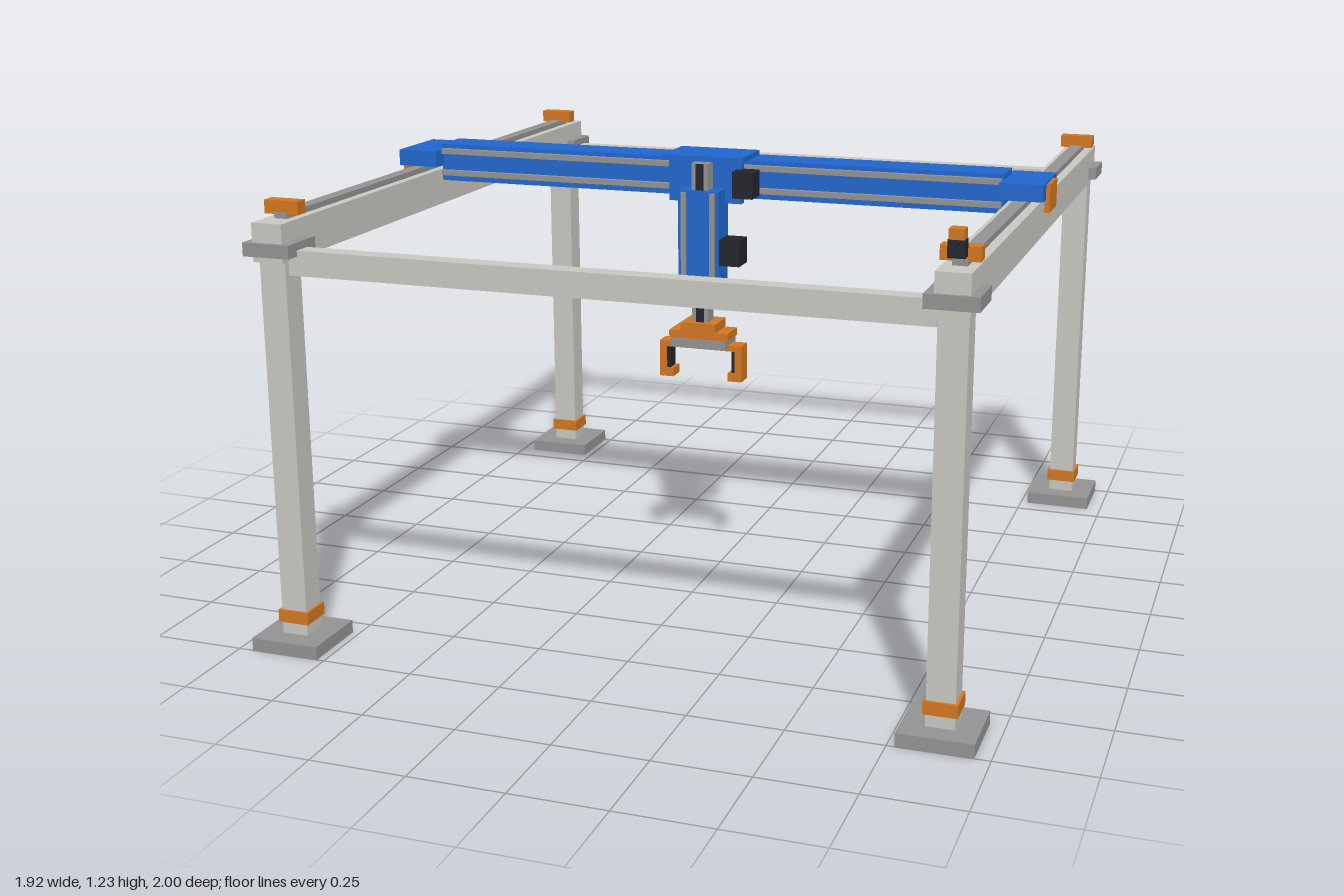
import * as THREE from 'three';

const mat = (name, color) => {
  const m = new THREE.MeshStandardMaterial({ color });
  m.name = name;
  return m;
};

export function createModel() {
  const frame = mat('light grey paint', 0xc8c6c0);
  const steel = mat('steel grey', 0x929292);
  const blue = mat('blue paint', 0x2066cc);
  const orange = mat('orange paint', 0xd07620);
  const black = mat('motor black', 0x22242a);

  const root = new THREE.Group();
  root.name = 'gantryRobot';
  const group = (name) => {
    const g = new THREE.Group();
    g.name = name;
    root.add(g);
    return g;
  };
  // Box given by its extents along each axis
  const box = (parent, name, material, [x0, x1], [y0, y1], [z0, z1]) => {
    const m = new THREE.Mesh(new THREE.BoxGeometry(x1 - x0, y1 - y0, z1 - z0), material);
    m.position.set((x0 + x1) / 2, (y0 + y1) / 2, (z0 + z1) / 2);
    m.name = name;
    parent.add(m);
    return m;
  };
  const around = (c, size) => [c - size / 2, c + size / 2];

  const X = 0.865, Z = 0.905;

  // Four legs with foot plates, bands and collars
  for (const sx of [-1, 1]) for (const sz of [-1, 1]) {
    const leg = group('leg');
    const x = sx * X, z = sz * Z;
    box(leg, 'footPlate', steel, around(x, 0.19), [0, 0.035], around(z, 0.19));
    box(leg, 'post', frame, around(x, 0.072), [0.035, 1.05], around(z, 0.072));
    box(leg, 'postBand', orange, around(x, 0.086), [0.068, 0.102], around(z, 0.086));
    box(leg, 'collar', steel, around(x, 0.13), [1.055, 1.09], around(z, 0.13));
    box(leg, 'endStop', orange, around(x, 0.095), [1.15, 1.185], around(sz * 0.867, 0.038));
  }

  // Side beams with rails
  for (const sx of [-1, 1]) {
    const side = group('sideBeam');
    box(side, 'beam', frame, around(sx * X, 0.084), [1.04, 1.14], [-0.96, 0.96]);
    box(side, 'rail', steel, around(sx * X, 0.036), [1.14, 1.155], [-0.89, 0.89]);
  }

  // Front and back tie bars
  for (const sz of [-1, 1])
    box(root, 'tieBar', frame, [-0.825, 0.825], [1.005, 1.07], around(sz * Z, 0.05));

  // Limit switch on one corner
  const limit = group('limitSwitch');
  box(limit, 'switchBody', black, around(0.862, 0.04), [1.163, 1.205], around(Z, 0.036));
  box(limit, 'switchCap', orange, around(0.862, 0.036), [1.205, 1.23], around(Z, 0.036));

  // Bridge beam with its two rails, end carriages and drive motor
  const bridge = group('bridge');
  box(bridge, 'bridgeBeam', blue, [-0.815, 0.815], [1.11, 1.215], [-0.02, 0.09]);
  for (const y of [1.134, 1.196])
    box(bridge, 'bridgeRail', steel, [-0.81, 0.81], around(y, 0.015), [0.09, 0.105]);
  for (const sx of [-1, 1]) {
    box(bridge, 'endCarriage', blue, around(sx * 0.868, 0.116), [1.155, 1.2], [-0.07, 0.14]);
    box(bridge, 'sidePlate', orange, around(sx * 0.93, 0.014), [1.12, 1.195], [-0.015, 0.096]);
  }
  box(bridge, 'bridgeMotor', black, [-0.81, -0.74], [1.12, 1.192], [-0.112, -0.02]);

  // Trolley riding on the bridge
  const trolley = group('trolley');
  box(trolley, 'topPlate', blue, [-0.114, 0.114], [1.215, 1.23], [-0.003, 0.152]);
  box(trolley, 'facePlate', blue, [-0.104, 0.104], [1.1, 1.215], [0.105, 0.13]);
  box(trolley, 'trolleyMotor', black, [0.092, 0.15], [1.123, 1.195], [0.11, 0.175]);

  // Vertical axis: housing, guide rails, ram and motor
  const lift = group('verticalAxis');
  box(lift, 'housing', blue, [-0.058, 0.058], [0.858, 1.14], [0.107, 0.188]);
  for (const sx of [-1, 1])
    box(lift, 'guideRail', steel, around(sx * 0.041, 0.014), [0.862, 1.136], [0.188, 0.196]);
  box(lift, 'ram', steel, [-0.023, 0.023], [0.77, 1.214], [0.125, 0.174]);
  box(lift, 'rack', black, [-0.011, 0.011], [0.77, 1.212], [0.174, 0.178]);
  box(lift, 'liftMotor', black, [0.058, 0.115], [0.936, 1.008], [0.112, 0.182]);

  // Gripper: flange, palm and two mirrored jaws
  const gripper = group('gripper');
  box(gripper, 'flange', orange, [-0.05, 0.05], [0.747, 0.772], [0.102, 0.194]);
  box(gripper, 'mount', orange, [-0.085, 0.085], [0.726, 0.747], [0.107, 0.191]);
  box(gripper, 'palm', steel, [-0.08, 0.08], [0.7, 0.726], [0.104, 0.194]);
  for (const sx of [-1, 1]) {
    const span = (a, b) => (sx > 0 ? [a, b] : [-b, -a]);
    box(gripper, 'jawArm', orange, span(0.04, 0.12), [0.694, 0.71], [0.123, 0.173]);
    box(gripper, 'jawFinger', orange, span(0.1, 0.12), [0.608, 0.7], [0.123, 0.173]);
    box(gripper, 'jawTip', orange, span(0.08, 0.101), [0.608, 0.632], [0.123, 0.173]);
    box(gripper, 'jawPad', black, span(0.09, 0.1), [0.632, 0.692], [0.128, 0.168]);
  }

  return root;
}
